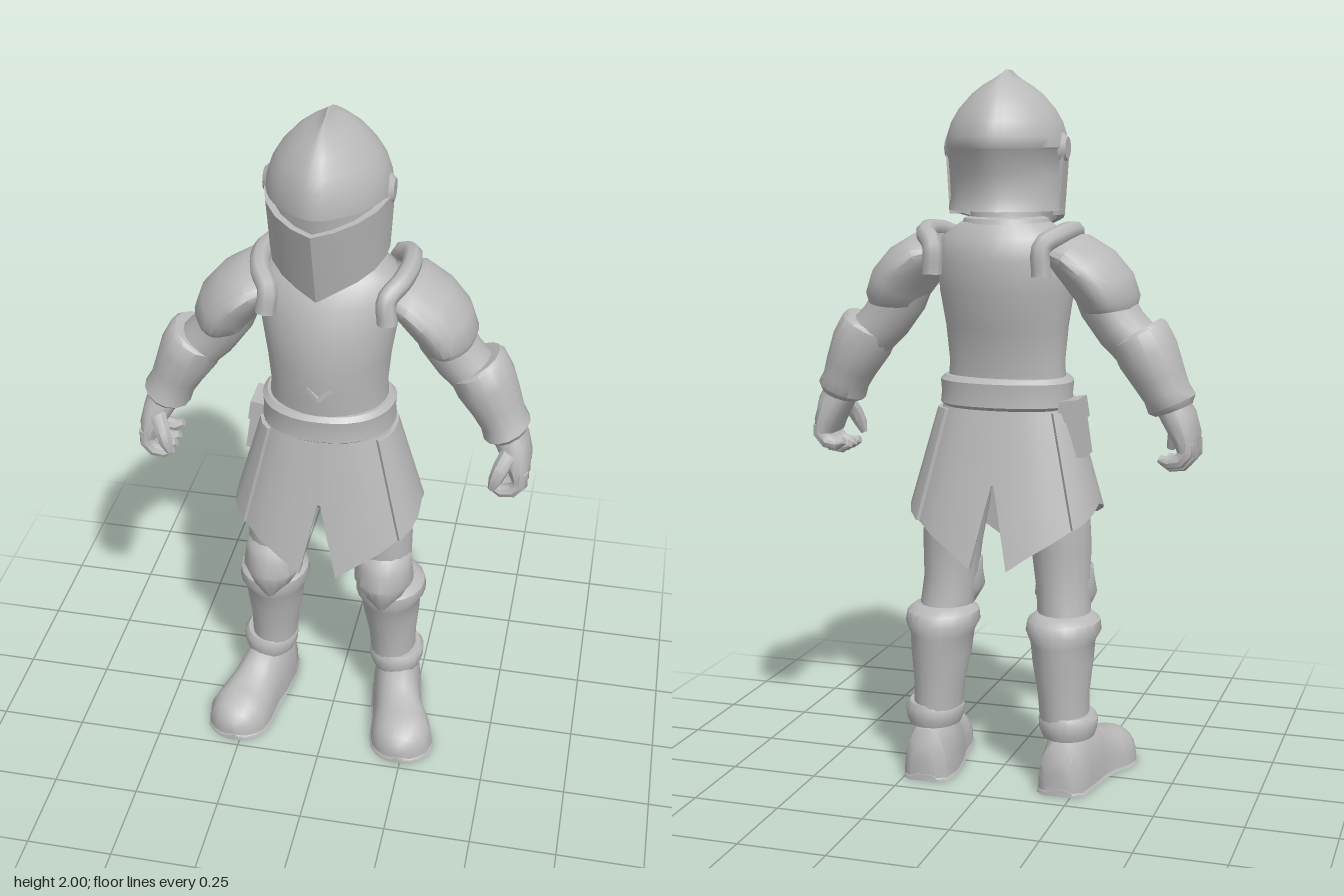
import * as THREE from 'three';
import { toCreasedNormals } from 'three/addons/utils/BufferGeometryUtils.js';

const steel = new THREE.MeshStandardMaterial({ color: 0xbababa, side: THREE.DoubleSide });
steel.name = 'steel';
const CX = -0.015; // centre line of head, trunk and legs
const V = (x, y, z) => new THREE.Vector3(x, y, z);
const spow = (v, e) => Math.sign(v) * Math.abs(v) ** e;

// Solid skin over closed loops of points; ends are capped unless the loops wrap round.
function skin(loops, wrap = false, crease = 0.75) {
  const n = loops[0].length, m = loops.length, pts = loops.flat(), idx = [];
  for (let i = 0; i < (wrap ? m : m - 1); i++) {
    for (let j = 0; j < n; j++) {
      const a = i * n + j, b = i * n + (j + 1) % n;
      const c = ((i + 1) % m) * n + j, d = ((i + 1) % m) * n + (j + 1) % n;
      idx.push(a, b, d, a, d, c);
    }
  }
  if (!wrap) {
    for (const end of [0, m - 1]) {
      const mid = V(0, 0, 0);
      loops[end].forEach(p => mid.addScaledVector(p, 1 / n));
      const k = pts.push(mid) - 1;
      for (let j = 0; j < n; j++) {
        const a = end * n + j, b = end * n + (j + 1) % n;
        idx.push(...(end ? [k, a, b] : [k, b, a]));
      }
    }
  }
  // Turn the faces outward if the enclosed volume is negative
  let vol = 0;
  const cr = V(0, 0, 0);
  for (let i = 0; i < idx.length; i += 3) {
    vol += pts[idx[i]].dot(cr.crossVectors(pts[idx[i + 1]], pts[idx[i + 2]]));
  }
  if (vol < 0) idx.reverse();
  const g = new THREE.BufferGeometry().setFromPoints(pts);
  g.setIndex(idx);
  return toCreasedNormals(g, crease);
}

// Point on a horizontal outline; phi runs from the front towards +x.
function rim(phi, y, [a, f, b], ridge = 0, e = 1) {
  const cz = -0.03, c = Math.cos(phi), k = Math.abs(c);
  const depth = (1 - ridge) * k ** e + ridge * k ** 14;
  return V(CX + a * spow(Math.sin(phi), e), y, cz + (c > 0 ? f - cz : b - cz) * depth);
}

// Stack of horizontal outlines: [y, halfWidth, frontZ, backZ]
function stack(rows, { ridge = 0, e = 1, n = 32 } = {}) {
  return skin(rows.map(([y, ...r]) =>
    Array.from({ length: n }, (_, i) => rim(i / n * Math.PI * 2, y, r, ridge, e))));
}

// Curved plate with thickness: cuts are [phi, topY, bottomY], size(y) gives the outline
function plate(cuts, size, { wrap = false, t = 0.014, ridge = 0, e = 1 } = {}) {
  const steps = [0, 0.25, 0.5, 0.75, 1];
  return skin(cuts.map(([phi, top, bot]) => {
    const side = inset => steps.map(s => {
      const y = top + (bot - top) * s, [a, f, b] = size(y);
      return rim(phi, y, [a - inset, f - inset, b + inset], ridge, e);
    });
    return [...side(0), ...side(t).reverse()];
  }), wrap, 0.6);
}

// Limb along a path in the xy plane: [x, y, z, halfWidth, halfDepth]
function limb(path, s = 1, ox = 0, n = 16, e = 1) {
  return skin(path.map(([x, y, z, a, b], i) => {
    const p = path[Math.max(i - 1, 0)], q = path[Math.min(i + 1, path.length - 1)];
    const l = Math.hypot(q[0] - p[0], q[1] - p[1]);
    const vx = -(q[1] - p[1]) / l, vy = (q[0] - p[0]) / l;
    return Array.from({ length: n }, (_, j) => {
      const t = j / n * Math.PI * 2, c = a * spow(Math.cos(t), e);
      return V(s * (x + vx * c) + ox, y + vy * c, z + b * spow(Math.sin(t), e));
    });
  }));
}

// Boot along z: [z, x, halfWidth, height]
function boot(path, s, n = 14) {
  return skin(path.map(([z, x, w, h]) => Array.from({ length: n }, (_, j) => {
    const t = j / (n - 1) * Math.PI;
    return V(s * (x + w * spow(Math.cos(t), 0.85)) + CX, h * Math.sin(t) ** 0.8, z);
  })));
}

export function createModel() {
  const model = new THREE.Group();
  const add = (name, geo) => {
    const m = new THREE.Mesh(geo, steel);
    m.name = name;
    model.add(m);
    return m;
  };

  // Helmet
  add('helmetSkull', stack([
    [1.622, 0.16, 0.1, -0.2], [1.66, 0.155, 0.1, -0.185], [1.72, 0.157, 0.11, -0.197],
    [1.787, 0.16, 0.12, -0.222], [1.792, 0.165, 0.2, -0.225], [1.82, 0.163, 0.2, -0.227],
    [1.86, 0.15, 0.192, -0.214], [1.895, 0.129, 0.18, -0.192], [1.935, 0.093, 0.148, -0.158],
    [1.96, 0.06, 0.118, -0.125], [1.975, 0.032, 0.095, -0.1], [1.99, 0.01, 0.055, -0.068], [2, 0.004, 0.02, -0.035],
  ], { ridge: 0.08, n: 40 }));
  const visorCuts = [-1.75, -1.4, -1.05, -0.7, -0.35, 0, 0.35, 0.7, 1.05, 1.4, 1.75].map(p => {
    const k = Math.min(Math.abs(p) / 1.4, 1);
    return [p, 1.757 + 0.028 * k, 1.537 + 0.073 * k ** 0.7];
  });
  add('visor', plate(visorCuts, y => [0.16 + (y - 1.6) * 0.06, 0.16 + (y - 1.535) * 0.29, -0.2],
    { ridge: 0.08, t: 0.02, e: 1.06 }));
  for (const s of [1, -1]) {
    const ear = new THREE.CylinderGeometry(0.03, 0.052, 0.024, 16).rotateZ(-s * Math.PI / 2);
    add('visorPivot', ear).position.set(CX + s * 0.161, 1.79, -0.025);
  }
  add('neck', stack([[1.54, 0.11, 0.06, -0.15], [1.59, 0.1, 0.05, -0.135], [1.66, 0.1, 0.05, -0.13]]));
  add('collar', stack([[1.565, 0.13, 0.07, -0.16], [1.6, 0.118, 0.06, -0.148], [1.605, 0.1, 0.05, -0.135]]));

  // Trunk
  add('breastplate', stack([
    [1.1, 0.172, 0.12, -0.122], [1.2, 0.163, 0.132, -0.125], [1.3, 0.172, 0.145, -0.15],
    [1.4, 0.188, 0.138, -0.18], [1.49, 0.195, 0.115, -0.188], [1.55, 0.18, 0.08, -0.18],
    [1.59, 0.125, 0.045, -0.15],
  ], { ridge: 0.06, e: 0.9 }));
  for (const s of [1, -1]) {
    const mark = add('chestMark', new THREE.BoxGeometry(0.05, 0.012, 0.009));
    mark.position.set(CX + s * 0.016, 1.238, 0.136);
    mark.rotation.set(0, s * 0.25, s * 0.75);
  }
  add('belt', stack([
    [1.075, 0.178, 0.125, -0.138], [1.085, 0.189, 0.138, -0.15], [1.115, 0.186, 0.136, -0.148],
    [1.15, 0.189, 0.14, -0.15], [1.163, 0.176, 0.128, -0.138],
  ], { e: 0.9 }));
  add('hips', stack([[0.84, 0.15, 0.06, -0.12], [0.95, 0.18, 0.09, -0.13], [1.09, 0.17, 0.1, -0.12]]));

  // Skirt, slit at front and back, with side plates over it
  const flare = (y, o = 0) => {
    const d = 1.09 - y;
    return [0.18 + d * 0.285 + o, 0.108 + d * 0.14 + o, -0.118 - d * 0.215 - o];
  };
  const quarter = [[0.004, 0.87], [0.04, 0.78], [0.1, 0.64], [0.3, 0.685], [0.55, 0.72], [0.85, 0.753], [1.2, 0.785], [Math.PI / 2, 0.805]];
  const half = [...quarter, ...quarter.slice(0, -1).reverse().map(([p, y]) => [Math.PI - p, y])];
  const hem = [...half, ...half.map(([p, y]) => [p + Math.PI, y])].map(([p, y]) => [p, 1.1, y]);
  add('skirt', plate(hem, y => flare(y), { wrap: true, e: 0.76 }));
  for (const s of [1, -1]) {
    const cuts = [0.85, 1.1, 1.35, 1.57, 1.8, 2.05, 2.3].map(p => [s * p, 1.07, 0.81 - 0.075 * Math.abs(p - 1.57)]);
    add('skirtSidePlate', plate(cuts, y => flare(y, 0.01), { e: 0.76, t: 0.018 }));
  }
  const pouch = add('pouch', new THREE.BoxGeometry(0.05, 0.15, 0.09));
  pouch.position.set(-0.22, 1.02, -0.04);
  pouch.rotation.z = -0.15;
  const flap = add('pouchFlap', new THREE.BoxGeometry(0.06, 0.06, 0.1));
  flap.position.set(-0.212, 1.075, -0.04);
  flap.rotation.z = -0.15;

  for (const s of [1, -1]) {
    // Shoulder
    add('pauldron', limb([
      [0.165, 1.51, -0.032, 0.05, 0.12], [0.21, 1.497, -0.032, 0.07, 0.15], [0.26, 1.457, -0.031, 0.082, 0.153],
      [0.3, 1.41, -0.03, 0.084, 0.143], [0.316, 1.37, -0.03, 0.08, 0.132], [0.318, 1.355, -0.03, 0.068, 0.118],
    ], s, 0, 20, 1.12));
    const band = new THREE.CatmullRomCurve3([
      [0.165, 1.46, 0.105], [0.16, 1.525, 0.092], [0.19, 1.556, 0.045], [0.203, 1.566, -0.035],
      [0.19, 1.558, -0.12], [0.155, 1.53, -0.168], [0.155, 1.45, -0.172],
    ].map(([x, y, z]) => V(s * x, y, z)));
    add('shoulderBand', new THREE.TubeGeometry(band, 24, 0.028, 8));

    // Arm
    add('upperArm', limb([
      [0.26, 1.46, -0.03, 0.07, 0.1], [0.3, 1.37, -0.03, 0.074, 0.092], [0.345, 1.305, -0.03, 0.072, 0.082],
      [0.4, 1.25, -0.03, 0.07, 0.082],
    ], s));
    add('bracer', limb([
      [0.388, 1.295, -0.03, 0.076, 0.085], [0.393, 1.287, -0.03, 0.085, 0.095], [0.42, 1.235, -0.03, 0.086, 0.1],
      [0.453, 1.17, -0.03, 0.073, 0.09], [0.472, 1.13, -0.025, 0.066, 0.084], [0.486, 1.1, -0.02, 0.07, 0.086],
      [0.492, 1.085, -0.02, 0.055, 0.07],
    ], s, 0, 14));
    add('palm', limb([
      [0.48, 1.11, -0.02, 0.045, 0.06], [0.508, 1.06, -0.015, 0.045, 0.075], [0.527, 1.01, -0.01, 0.036, 0.083],
      [0.532, 0.975, -0.01, 0.026, 0.08],
    ], s, 0, 14, 0.8));
    [-0.07, -0.03, 0.01, 0.05].forEach((z, i) => {
      const d = i === 0 ? 0.015 : 0;
      add('finger', limb([
        [0.537, 1, z, 0.022, 0.021], [0.538, 0.96 + d, z, 0.022, 0.021], [0.518, 0.936 + d, z, 0.021, 0.021],
        [0.485, 0.93 + d, z, 0.018, 0.019], [0.462, 0.94 + d, z, 0.011, 0.012],
      ], s, 0, 8));
    });
    add('thumb', limb([
      [0.505, 1.06, 0.04, 0.025, 0.026], [0.485, 1.02, 0.068, 0.024, 0.024], [0.472, 0.985, 0.08, 0.02, 0.02],
      [0.462, 0.955, 0.082, 0.01, 0.01],
    ], s, 0, 8));

    // Leg
    add('thigh', limb([
      [0.11, 1, -0.02, 0.09, 0.1], [0.145, 0.82, -0.03, 0.095, 0.1], [0.162, 0.68, -0.028, 0.085, 0.092],
      [0.168, 0.57, -0.028, 0.077, 0.085], [0.178, 0.46, -0.05, 0.075, 0.085],
    ], s, CX));
    add('kneeCop', limb([
      [0.165, 0.645, 0, 0.06, 0.05], [0.165, 0.62, -0.003, 0.083, 0.08], [0.167, 0.585, -0.003, 0.084, 0.09],
      [0.168, 0.54, 0, 0.09, 0.1], [0.17, 0.49, 0.005, 0.062, 0.08], [0.17, 0.45, 0.03, 0.018, 0.035],
    ], s, CX, 16, 1.1));
    add('greave', limb([
      [0.18, 0.497, -0.06, 0.08, 0.09], [0.18, 0.48, -0.063, 0.102, 0.115], [0.18, 0.45, -0.067, 0.106, 0.122],
      [0.18, 0.42, -0.073, 0.09, 0.114], [0.182, 0.36, -0.077, 0.085, 0.103], [0.186, 0.27, -0.084, 0.072, 0.088],
      [0.19, 0.17, -0.085, 0.068, 0.083],
    ], s, CX, 20));
    add('ankleCuff', limb([
      [0.2, 0.215, -0.083, 0.072, 0.085], [0.2, 0.2, -0.083, 0.084, 0.092], [0.2, 0.17, -0.083, 0.082, 0.092],
      [0.2, 0.15, -0.083, 0.074, 0.085],
    ], s, CX, 20));
    const footPath = [
      [-0.19, 0.2, 0.04, 0.1], [-0.17, 0.2, 0.064, 0.15], [-0.1, 0.202, 0.076, 0.175], [-0.01, 0.216, 0.078, 0.172],
      [0.04, 0.23, 0.08, 0.146], [0.08, 0.245, 0.09, 0.12], [0.13, 0.254, 0.096, 0.112], [0.175, 0.255, 0.085, 0.098],
      [0.202, 0.255, 0.064, 0.08], [0.219, 0.255, 0.04, 0.06], [0.227, 0.255, 0.015, 0.045],
    ];
    add('boot', boot(footPath, s));
    add('sole', boot(footPath.map(([z, x, w]) => [z * 1.01, x, w + 0.004, 0.02]), s));
  }
  return model;
}
